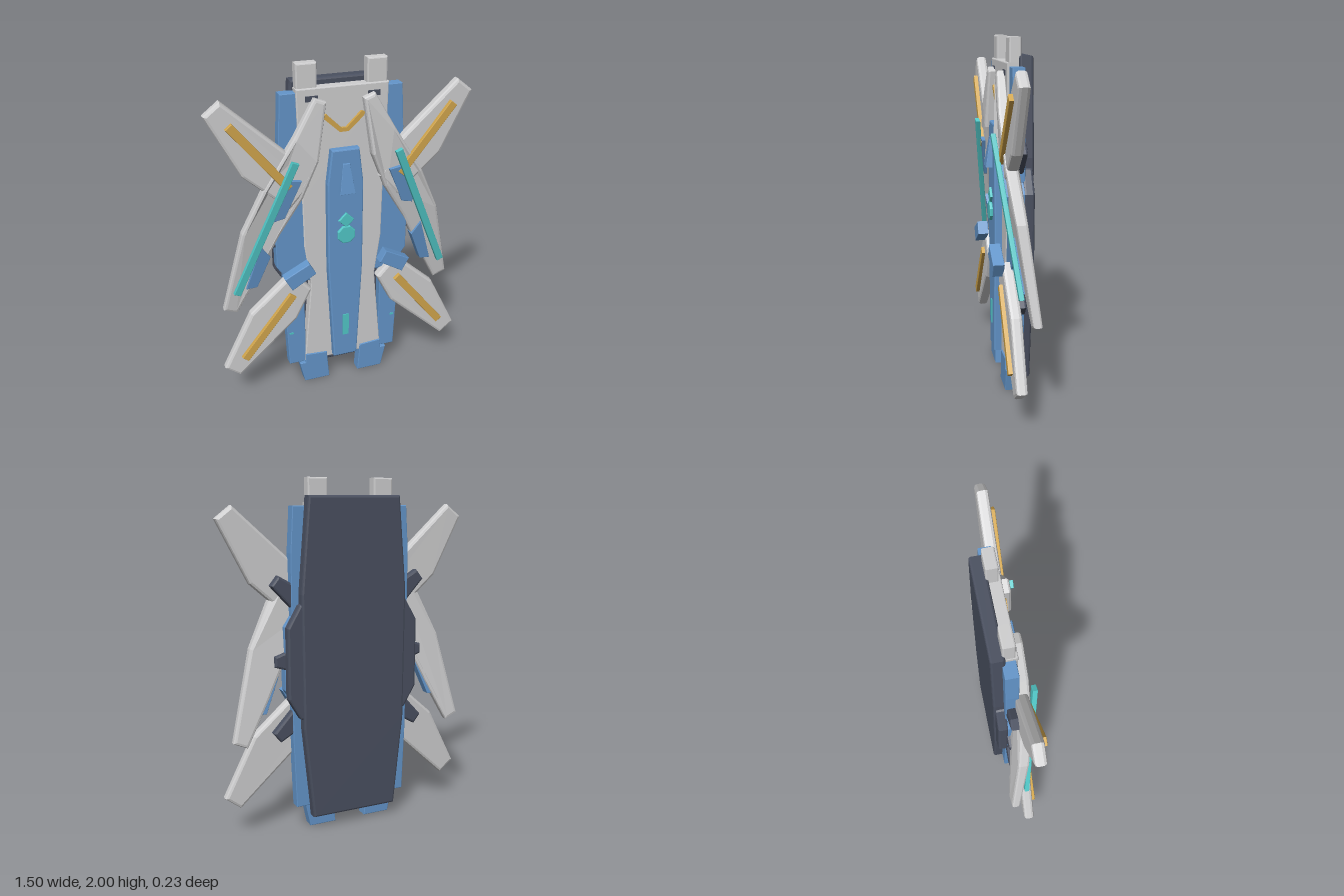
import * as THREE from 'three';

const mat = (name, color) => {
  const m = new THREE.MeshStandardMaterial({ color });
  m.name = name;
  return m;
};

export function createModel() {
  const model = new THREE.Group();
  model.name = 'wingedShield';
  const grey = mat('pale grey', 0xcfcfd0);
  const blue = mat('steel blue', 0x6496cb);
  const dark = mat('dark slate', 0x4a5060);
  const gold = mat('gold', 0xd2a64c);
  const cyan = mat('cyan', 0x52c8c8);

  // Bevelled plate from an outline in x/y, spanning z0 to z1, optionally reshaped by a rule
  function plate(name, material, points, z0, z1, bevel = 0.004, rule = null) {
    const shape = new THREE.Shape(points.map(([x, y]) => new THREE.Vector2(x, y)));
    const geo = new THREE.ExtrudeGeometry(shape, {
      depth: z1 - z0 - 2 * bevel, bevelEnabled: bevel > 0, bevelThickness: bevel,
      bevelSize: bevel, bevelOffset: -bevel, bevelSegments: 2,
    });
    geo.translate(0, 0, z0 + bevel);
    if (rule) {
      const p = geo.attributes.position;
      for (let i = 0; i < p.count; i++) p.setZ(i, rule(p.getX(i), p.getY(i), p.getZ(i)));
      geo.computeVertexNormals();
    }
    const mesh = new THREE.Mesh(geo, material);
    mesh.name = name;
    model.add(mesh);
    return mesh;
  }

  // Straight bar outline between two points
  function bar([ax, ay], [bx, by], w, w2 = w) {
    const l = Math.hypot(bx - ax, by - ay);
    const nx = -(by - ay) / l / 2, ny = (bx - ax) / l / 2;
    return [[ax + nx * w, ay + ny * w], [ax - nx * w, ay - ny * w],
      [bx - nx * w2, by - ny * w2], [bx + nx * w2, by + ny * w2]];
  }

  const flipX = (pts, s) => pts.map(([x, y]) => [s * x, y]);
  const flipY = (pts) => pts.map(([x, y]) => [x, 2.025 - y]);
  // Symmetric outline from its right half
  const both = (half) => [...half, ...flipX(half, -1).reverse()];
  const ring = (y, r, n, turn = 0) => Array.from({ length: n }, (_, i) => {
    const a = turn + (i / n) * Math.PI * 2;
    return [Math.cos(a) * r, y + Math.sin(a) * r];
  });

  // Body
  plate('backPlate', dark, both([[0.26, 0.08], [0.315, 0.62], [0.32, 1.38], [0.275, 1.905]]), -0.118, -0.045, 0.012);
  plate('hull', grey, both([[0.25, 0.15], [0.2, 0.7], [0.235, 0.95], [0.24, 1.25], [0.255, 1.6], [0.26, 1.87]]), -0.05, 0.018, 0.006);
  plate('centrePanel', blue, both([[0.075, 0.17], [0.105, 0.8], [0.105, 1.33], [0.08, 1.53]]), 0.01, 0.062, 0.008);

  // Raised fin, sloping out towards its lower end
  plate('centreFin', blue, both([[0.045, 1.28], [0.02, 1.45]]), 0.055, 0.1, 0.002,
    (x, y, z) => (z > 0.08 ? z - (y - 1.28) * 0.16 : z));

  // Centre gems and light bar
  plate('diamondGem', cyan, ring(1.11, 0.047, 4), 0.06, 0.076);
  plate('roundGem', cyan, ring(1.02, 0.057, 8, Math.PI / 8), 0.06, 0.08, 0.006);
  plate('lightBar', cyan, both([[0.019, 0.325], [0.019, 0.47]]), 0.058, 0.067, 0);

  // Gold chevron
  plate('chevron', gold, [[-0.12, 1.72], [-0.1, 1.728], [-0.014, 1.645], [0.014, 1.645], [0.1, 1.728],
    [0.12, 1.72], [0.11, 1.7], [0.026, 1.623], [-0.026, 1.623], [-0.11, 1.7]], 0.015, 0.036, 0);

  const blade = [[0.66, 0.17], [0.75, 0.24], [0.575, 0.585], [0.32, 0.81], [0.205, 0.685], [0.3, 0.5]];
  const wing = [[0.17, 1.825], [0.105, 1.8], [0.155, 1.48], [0.24, 1.27], [0.375, 1.05], [0.5, 0.8],
    [0.635, 0.55], [0.715, 0.585], [0.59, 1.09], [0.465, 1.35], [0.29, 1.62]];

  // Wings lean back below the shoulder and thin out towards the tip
  const lean = (x, y, z) => {
    const down = Math.max(0, 1.45 - y), up = Math.max(0, y - 1.5);
    return 0.04 - 0.12 * down - 0.02 * up + z * (1 - 0.35 * down - 0.9 * up);
  };
  const bladeTaper = (x, y, z) => 0.022 + (z - 0.022) * (1.15 - 0.35 * Math.max(0, Math.abs(x) - 0.35));

  for (const s of [1, -1]) {
    const side = s > 0 ? 'left' : 'right';
    const part = (name, material, pts, ...rest) => plate(side + name, material, flipX(pts, s), ...rest);

    // Rails, side bulges, prongs and feet
    part('Rail', blue, [[0.24, 0.14], [0.345, 0.14], [0.36, 0.55], [0.36, 1.6], [0.345, 1.85], [0.24, 1.85]], -0.062, 0.006);
    part('SideBulge', blue, [[0.19, 0.72], [0.33, 0.74], [0.4, 0.84], [0.4, 1.2], [0.33, 1.3], [0.19, 1.3]], -0.055, 0.012);
    part('SidePod', dark, [[0.28, 0.66], [0.33, 0.68], [0.4, 0.8], [0.4, 1.2], [0.33, 1.32], [0.28, 1.35]], -0.108, -0.05, 0.012);
    part('Prong', grey, [[0.14, 1.75], [0.255, 1.75], [0.255, 2], [0.14, 2]], -0.058, 0.006, 0.008);
    part('Foot', blue, [[0.095, 0], [0.255, 0], [0.285, 0.14], [0.25, 0.14], [0.245, 0.2], [0.11, 0.19]], -0.045, 0.026);
    part('Slot', dark, [[0.14, 1.8], [0.21, 1.8], [0.21, 1.83], [0.14, 1.83]], 0.016, 0.022, 0);
    part('RailMark', cyan, [[0.315, 0.36], [0.34, 0.36], [0.34, 0.371], [0.315, 0.371]], 0.004, 0.009, 0);

    // Main wing with blue insets and a long light strip
    part('Wing', grey, wing, -0.036, 0.036, 0.016, lean);
    part('UpperInset', blue, [[0.255, 1.385], [0.345, 1.4], [0.43, 1.2], [0.415, 1.15], [0.35, 1.165]], 0.02, 0.046, 0.003, lean);
    part('LowerInset', blue, [[0.49, 1], [0.435, 0.92], [0.515, 0.725], [0.58, 0.72]], -0.02, 0.05, 0.003, lean);
    part('LightStrip', cyan, bar([0.295, 1.505], [0.64, 0.71], 0.042), 0, 0.026, 0.003,
      (x, y, z) => z + 0.086 - 0.114 * (1.5 - y));

    // Upper and lower blades with gold stripes and rear struts
    for (const [level, f] of [['Lower', (p) => p], ['Upper', flipY]]) {
      part(level + 'Blade', grey, f(blade), -0.008, 0.052, 0.016, bladeTaper);
      part(level + 'Stripe', gold, f(bar([0.325, 0.675], [0.63, 0.296], 0.046)), 0.045, 0.077, 0.003);
      part(level + 'Strut', dark, f(bar([0.3, 0.69], [0.45, 0.57], 0.13, 0.07)), -0.055, 0.005, 0.012);
    }
    part('MiddleStrut', dark, bar([0.3, 1.01], [0.46, 1.01], 0.16, 0.06), -0.06, -0.005, 0.012);

    // Angled block over the lower blade root
    part('Block', blue, bar([0.215, 0.855], [0.36, 0.775], 0.08, 0.09), 0.05, 0.114);
  }
  return model;
}
